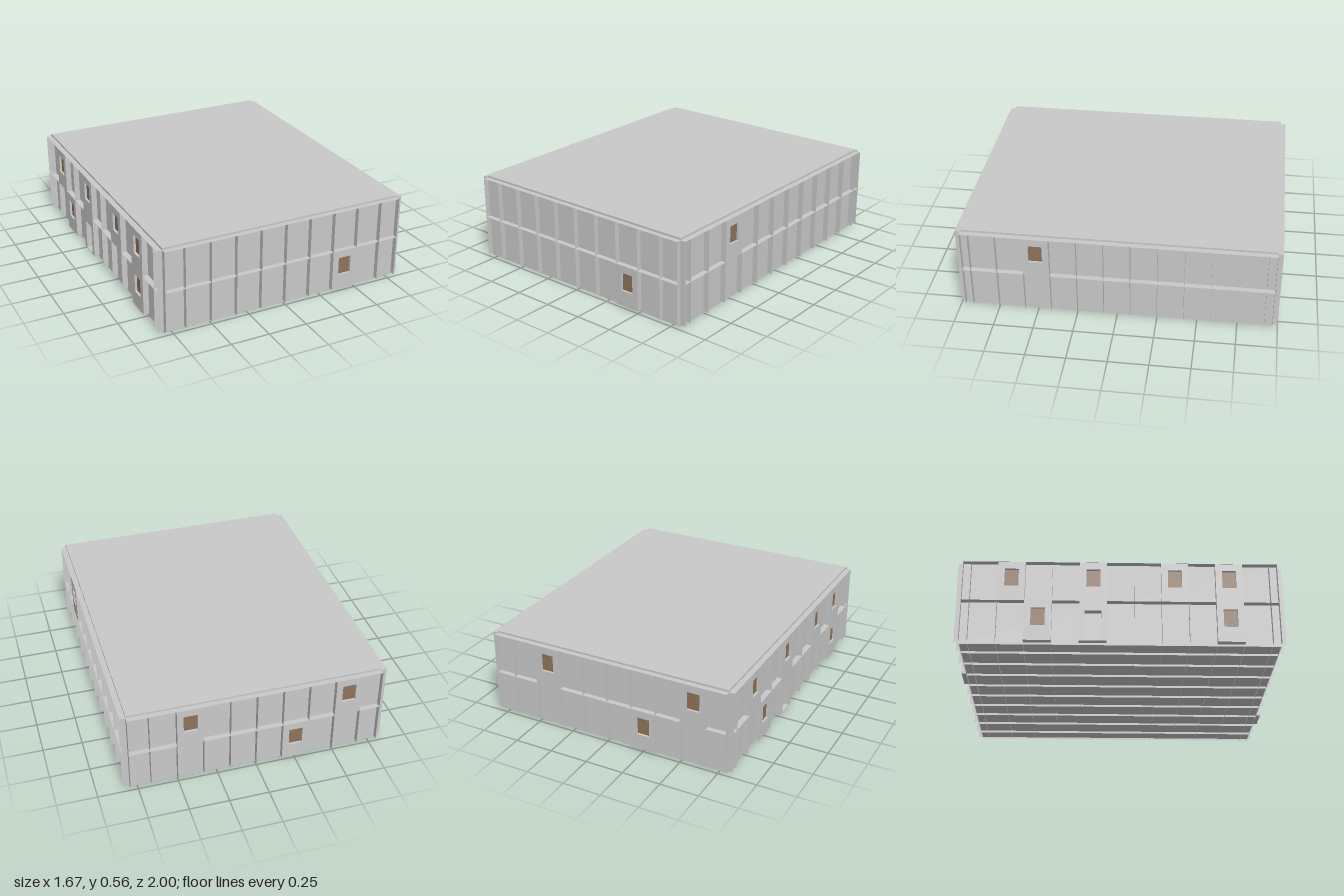
import * as THREE from 'three';

const X = 0.797, Z = 0.967;            // half size of the core
const OUT = 0.035;                     // how far fins and panels stand out
const Y0 = 0.014, YM = 0.28, Y1 = 0.547, TOP = 0.56;
const BAY = 1 / 6;

export function createModel() {
  const model = new THREE.Group();
  const wall = new THREE.MeshStandardMaterial({ color: 0xc9c9c9 });
  wall.name = 'wallGrey';
  const thin = new THREE.MeshStandardMaterial({ color: 0xc9c9c9, side: THREE.DoubleSide });
  thin.name = 'finGrey';
  const brown = new THREE.MeshStandardMaterial({ color: 0x8f7359 });
  brown.name = 'windowBrown';

  const add = (parent, name, geo, mat, x = 0, y = 0, z = 0) => {
    const m = new THREE.Mesh(geo, mat);
    m.name = name;
    m.position.set(x, y, z);
    parent.add(m);
    return m;
  };

  // solid core and roof slab
  add(model, 'core', new THREE.BoxGeometry(2 * X, TOP - Y0, 2 * Z), wall, 0, (TOP + Y0) / 2, 0);

  // fin positions along each direction
  const nodesX = [-X, X], nodesZ = [-Z, Z];
  for (let k = -4; k <= 4; k++) nodesX.push(k * BAY);
  for (let k = -6; k < 6; k++) nodesZ.push((k + 0.5) * BAY);

  // ribs under the floor
  for (const x of nodesX) {
    add(model, 'floorRib', new THREE.PlaneGeometry(2 * Z, Y0), thin, x, Y0 / 2, 0).rotation.y = Math.PI / 2;
  }
  for (const z of nodesZ) {
    add(model, 'floorRib', new THREE.PlaneGeometry(2 * X, Y0), thin, 0, Y0 / 2, z);
  }

  // full-bay panel with an opening, standing out from the wall
  const framedPanel = (w0, h0, h1) => {
    const s = new THREE.Shape();
    const half = BAY / 2, h = YM - Y0;
    s.moveTo(-half, 0).lineTo(half, 0).lineTo(half, h).lineTo(-half, h).closePath();
    const hole = new THREE.Path();
    hole.moveTo(-w0, h0).lineTo(-w0, h1).lineTo(w0, h1).lineTo(w0, h0).closePath();
    s.holes.push(hole);
    return new THREE.ExtrudeGeometry(s, { depth: OUT, bevelEnabled: false });
  };
  const windowGeo = framedPanel(0.043, 0.1, 0.218);
  const doorGeo = framedPanel(0.05, 0.004, 0.2);

  // one facade: local u runs to the right seen from outside, local z points outward
  const facade = (name, angle, dist, half, out, nodes, panels) => {
    const g = new THREE.Group();
    g.name = name;
    g.rotation.y = angle;
    model.add(g);
    for (const u of nodes) {
      add(g, 'verticalFin', new THREE.PlaneGeometry(out, Y1 - Y0), thin,
        u, (Y0 + Y1) / 2, dist + out / 2).rotation.y = Math.PI / 2;
    }
    for (const y of [YM, Y1]) {
      add(g, 'ledge', new THREE.PlaneGeometry(2 * half, out), thin, 0, y, dist + out / 2).rotation.x = -Math.PI / 2;
    }
    for (const [u, floor, kind] of panels) {
      const y = floor ? YM : Y0;
      const p = add(g, kind + 'Panel', kind === 'door' ? doorGeo : windowGeo, wall, u, y, dist);
      p.scale.z = out / OUT;
      if (kind === 'window') {
        add(g, 'windowPane', new THREE.PlaneGeometry(0.086, 0.118), brown, u, y + 0.159, dist + out - 0.015);
      }
    }
  };

  const oz = 1 - Z, ox = 0.833 - X;
  facade('frontFacade', 0, Z, X, oz, nodesX, [[2.5 * BAY, 0, 'window']]);
  facade('backFacade', Math.PI, Z, X, oz, nodesX,
    [[-2.5 * BAY, 1, 'window'], [3.5 * BAY, 1, 'window'], [1.5 * BAY, 0, 'window']]);
  // on the right-hand facade u = -z, on the other u = z
  facade('xPlusFacade', Math.PI / 2, X, Z, ox, nodesZ, [[-3 * BAY, 1, 'window']]);
  facade('xMinusFacade', -Math.PI / 2, X, Z, ox, nodesZ, [
    [-4 * BAY, 1, 'window'], [-BAY, 1, 'window'], [2 * BAY, 1, 'window'], [4 * BAY, 1, 'window'],
    [-3 * BAY, 0, 'window'], [4 * BAY, 0, 'window'], [-BAY, 0, 'door'],
  ]);
  return model;
}
